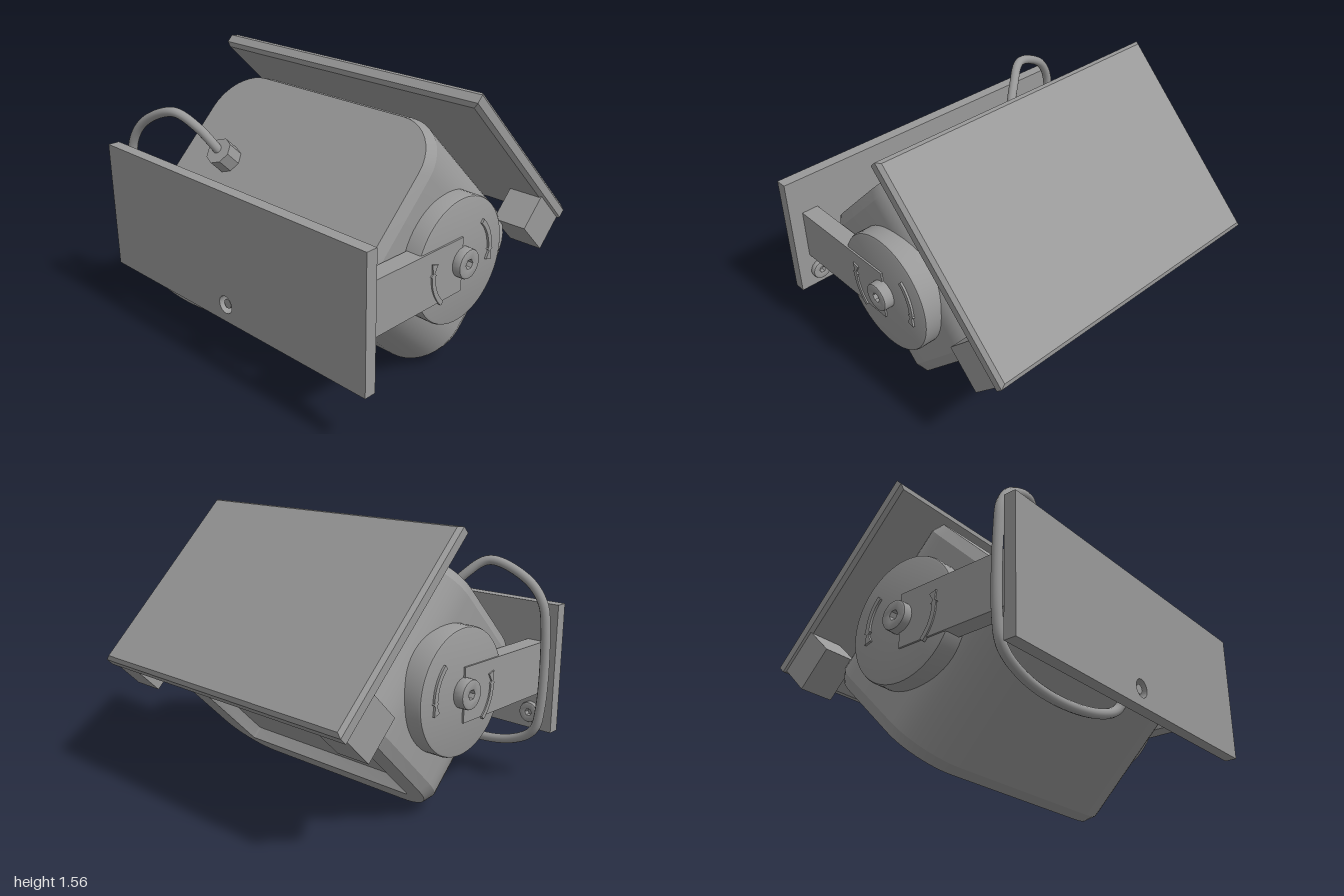
import * as THREE from 'three';
import { toCreasedNormals } from 'three/addons/utils/BufferGeometryUtils.js';

const grey = new THREE.MeshStandardMaterial({ color: 0x999999 });
grey.name = 'grey';

function add(parent, name, geometry, x = 0, y = 0, z = 0) {
  const mesh = new THREE.Mesh(geometry, grey);
  mesh.name = name;
  mesh.position.set(x, y, z);
  parent.add(mesh);
  return mesh;
}

const circle = (r, n = 32) => Array.from({ length: n }, (_, i) =>
  new THREE.Vector2(r * Math.cos(i / n * 2 * Math.PI), r * Math.sin(i / n * 2 * Math.PI)));

// Counter-clockwise rounded rectangle outline
function roundedRect(hw, hh, r, n = 10) {
  const pts = [];
  [[1, 1], [-1, 1], [-1, -1], [1, -1]].forEach(([sx, sy], q) => {
    for (let i = 0; i <= n; i++) {
      const a = (q + i / n) * Math.PI / 2;
      pts.push([sx * (hw - r) + r * Math.cos(a), sy * (hh - r) + r * Math.sin(a)]);
    }
  });
  return pts;
}

// Skin over rounded-rectangle rings [halfWidth, halfHeight, radius, z]
function loft(rings) {
  const pos = [], index = [];
  const loops = rings.map(([w, h, r]) => roundedRect(w, h, r));
  const n = loops[0].length;
  loops.forEach((loop, k) => loop.forEach(([x, y]) => pos.push(x, y, rings[k][3])));
  for (let k = 0; k < rings.length - 1; k++) {
    for (let i = 0; i < n; i++) {
      const j = (i + 1) % n, a = k * n + i, b = a + n, c = (k + 1) * n + j, d = k * n + j;
      index.push(a, b, c, a, c, d);
    }
  }
  const g = new THREE.BufferGeometry();
  g.setAttribute('position', new THREE.Float32BufferAttribute(pos, 3));
  g.setIndex(index);
  return toCreasedNormals(g, 0.4);
}

// Round head with a hole, standing on z = 0
function head(r, height, holePoints, bevel = 0.01) {
  const shape = new THREE.Shape(circle(r - bevel));
  shape.holes.push(new THREE.Path(holePoints));
  const g = new THREE.ExtrudeGeometry(shape, {
    depth: height - bevel, bevelThickness: bevel, bevelSize: bevel, bevelSegments: 2,
  });
  return toCreasedNormals(g, 0.6);
}

// Curved arrow mark: an arc band ending in a flared tip
function arrowMark(side, turn) {
  const pts = [], R = 0.235, a0 = 0.82, a1 = 0;
  const at = (r, a) => pts.push(new THREE.Vector2(side * r * Math.cos(a + turn), r * Math.sin(a + turn)));
  for (let i = 0; i <= 10; i++) at(R + 0.013, a0 + (a1 - a0) * i / 10);
  at(R + 0.022, -0.02);
  at(R + 0.006, -0.07);
  at(R + 0.022, -0.28);
  at(R - 0.022, -0.28);
  at(R - 0.006, -0.07);
  at(R - 0.022, -0.02);
  for (let i = 10; i >= 0; i--) at(R - 0.013, a0 + (a1 - a0) * i / 10);
  return new THREE.ExtrudeGeometry(new THREE.Shape(pts), { depth: 0.025, bevelEnabled: false });
}

export function createModel() {
  const model = new THREE.Group();
  model.name = 'floodlight';

  // Wall plate with cable hole
  const plate = new THREE.Shape([[-1, 0.34], [1, 0.34], [1, 1.085], [-1, 1.085]]
    .map(([x, y]) => new THREE.Vector2(x, y)));
  plate.holes.push(new THREE.Path(circle(0.05).map((p) => p.add(new THREE.Vector2(0, 0.44)))));
  add(model, 'wallPlate', new THREE.ExtrudeGeometry(plate, { depth: 0.067, bevelEnabled: false }), 0, 0, 0.797);
  add(model, 'plateGrommet', head(0.076, 0.03, circle(0.045)), 0, 0.44, 0.797).rotation.y = Math.PI;

  // Everything tilted 45 degrees: local y is across the lamp, local z points out of its back
  const tilted = new THREE.Group();
  tilted.name = 'tiltedLamp';
  tilted.rotation.x = -Math.PI / 4;
  model.add(tilted);

  // Housing with a recessed window at the far end
  add(tilted, 'housing', loft([
    [0, 0, 0, 0.507],
    [0.785, 0.482, 0.26, 0.507],
    [0.812, 0.514, 0.28, 0.447],
    [0.812, 0.514, 0.28, -0.43],
    [0.785, 0.482, 0.26, -0.49],
    [0.63, 0.365, 0.012, -0.49],
    [0.61, 0.345, 0.012, -0.42],
    [0, 0, 0, -0.42],
  ]), 0, 0.4525, 0.5515);

  // Sun shade panel with bevelled rim
  const rim = 0.02;
  const panel = new THREE.Shape([[-1, -1], [1, -1], [1, 1], [-1, 1]]
    .map(([x, y]) => new THREE.Vector2(x * (0.93 - rim), y * (0.605 - rim))));
  const panelGeometry = new THREE.ExtrudeGeometry(panel, {
    depth: 0.048, bevelThickness: rim, bevelSize: rim, bevelSegments: 1,
  });
  panelGeometry.rotateX(-Math.PI / 2);
  add(tilted, 'shadePanel', panelGeometry, 0, 1.078, 0.51);

  // Cable gland on the back of the housing
  const gland = add(tilted, 'cableGland',
    new THREE.CylinderGeometry(0.08, 0.08, 0.11, 8).toNonIndexed(), -0.42, 0.405, 1.106);
  gland.geometry.computeVertexNormals();
  gland.rotation.x = Math.PI / 2;

  for (const s of [1, -1]) {
    const side = s > 0 ? 'left' : 'right';
    add(tilted, side + 'ShadeBlock', new THREE.BoxGeometry(0.2, 0.21, 0.255), s * 0.82, 0.964, 0.0475);
    add(model, side + 'Arm', new THREE.BoxGeometry(0.1, 0.3, 0.735), s * 0.869, 0.714, 0.4325);
    add(model, side + 'PlateScrew', head(0.06, 0.03, circle(0.03, 6)), s * 0.865, 0.44, 0.797)
      .rotation.y = Math.PI;

    // Pivot: local z points outwards from the lamp
    const pivot = new THREE.Group();
    pivot.name = side + 'Pivot';
    pivot.position.set(0, 0.728, 0.065);
    pivot.rotation.y = s * Math.PI / 2;
    model.add(pivot);

    const discProfile = [[0, 0.76], [0.346, 0.76], [0.346, 0.893], [0.341, 0.905], [0.33, 0.909], [0, 0.909]]
      .map(([x, y]) => new THREE.Vector2(x, y));
    const disc = toCreasedNormals(new THREE.LatheGeometry(discProfile, 64), 0.5);
    add(pivot, 'pivotDisc', disc).rotation.x = Math.PI / 2;
    add(pivot, 'pivotBolt', head(0.081, 0.062, circle(0.037, 6)), 0, 0, 0.905);
    add(pivot, 'rearArrow', arrowMark(s, 0), 0, 0, 0.896);
    add(pivot, 'frontArrow', arrowMark(s, Math.PI), 0, 0, 0.902);
  }

  // Cable looping from the gland round the plate into its hole
  const path = new THREE.CatmullRomCurve3([
    [-0.42, 1.05, 0.48], [-0.43, 1.1, 0.52], [-0.52, 1.23, 0.59], [-0.63, 1.31, 0.66], [-0.85, 1.22, 0.71],
    [-0.94, 1.1, 0.73], [-0.965, 0.95, 0.735], [-0.965, 0.5, 0.73], [-0.93, 0.36, 0.73],
    [-0.8, 0.275, 0.73], [-0.54, 0.235, 0.73], [-0.2, 0.275, 0.73], [-0.03, 0.35, 0.735],
    [0, 0.42, 0.77], [0, 0.44, 0.81], [0, 0.44, 0.85],
  ].map((p) => new THREE.Vector3(...p)));
  add(model, 'cable', new THREE.TubeGeometry(path, 120, 0.027, 12));
  add(model, 'cableEnd', new THREE.CircleGeometry(0.027, 12), 0, 0.44, 0.85);

  return model;
}
